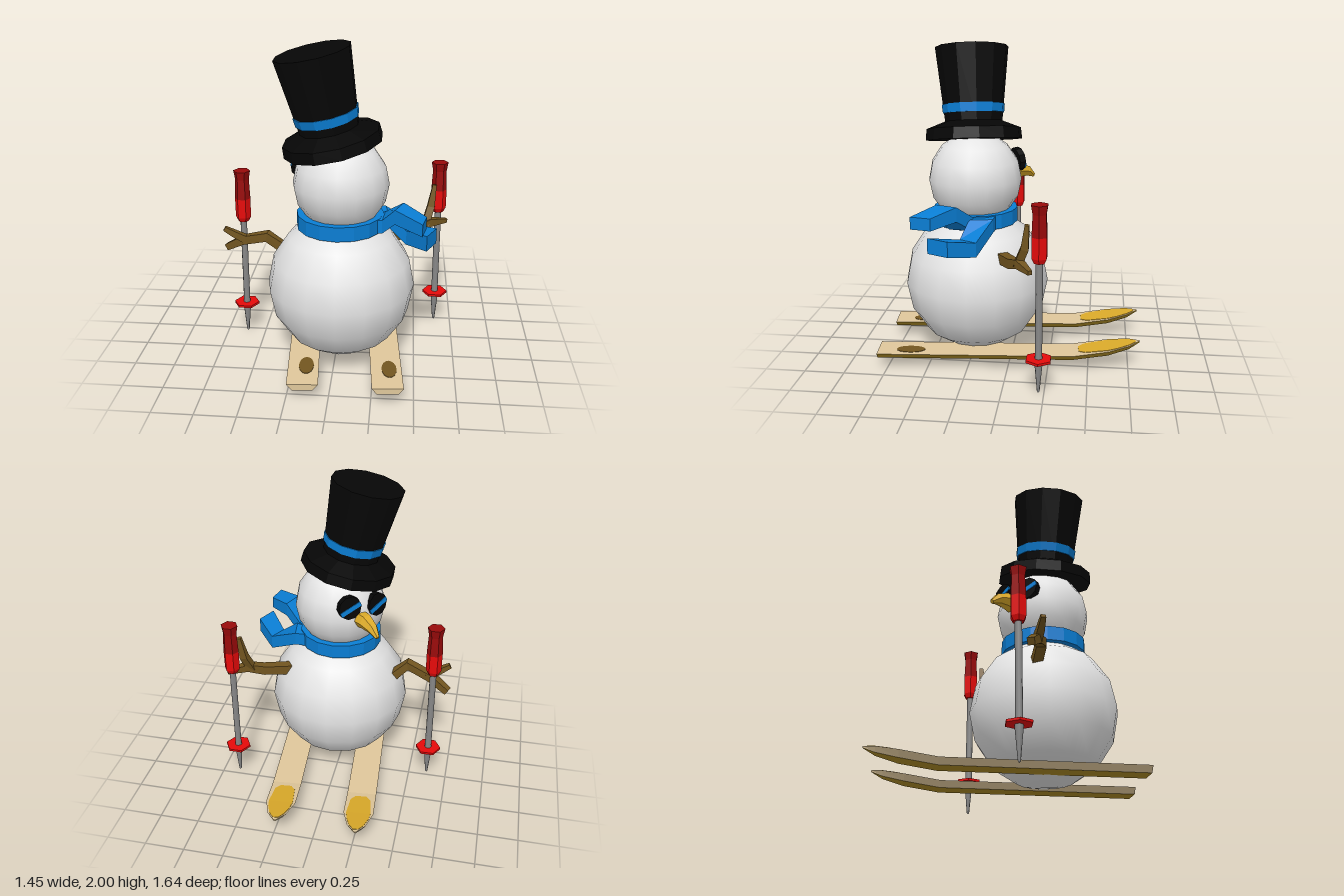
import * as THREE from 'three';

const mat = (name, color) => {
  const m = new THREE.MeshStandardMaterial({ color });
  m.name = name;
  return m;
};
const V = (x, y, z) => new THREE.Vector3(x, y, z);

// Faceted skin over rings listed counter-clockwise around the direction of travel.
// Strips listed in topStrips and both caps form group 0, the other strips group 1.
function loft(rings, topStrips = []) {
  const first = [], rest = [];
  const n = rings[0].length, last = rings[rings.length - 1];
  const tri = (list, a, b, c) => [a, b, c].forEach((p) => list.push(p.x, p.y, p.z));
  for (let i = 0; i < rings.length - 1; i++) {
    for (let j = 0; j < n; j++) {
      const k = (j + 1) % n, list = topStrips.includes(j) ? first : rest;
      tri(list, rings[i][j], rings[i][k], rings[i + 1][k]);
      tri(list, rings[i][j], rings[i + 1][k], rings[i + 1][j]);
    }
  }
  for (let j = 1; j < n - 1; j++) {
    tri(first, rings[0][0], rings[0][j + 1], rings[0][j]);
    tri(first, last[0], last[j], last[j + 1]);
  }
  const g = new THREE.BufferGeometry();
  g.setAttribute('position', new THREE.Float32BufferAttribute(first.concat(rest), 3));
  g.computeVertexNormals();
  g.addGroup(0, first.length / 3, 0);
  g.addGroup(first.length / 3, rest.length / 3, 1);
  return g;
}

// Tapered limb through [x, y, z, radius] stations.
function limb(stations, sides, ref) {
  const pts = stations.map((s) => V(s[0], s[1], s[2]));
  return loft(pts.map((p, i) => {
    const t = pts[Math.min(i + 1, pts.length - 1)].clone().sub(pts[Math.max(i - 1, 0)]).normalize();
    const u = ref.clone().cross(t).normalize(), v = t.clone().cross(u);
    return Array.from({ length: sides }, (_, j) => {
      const a = Math.PI / sides + (j / sides) * Math.PI * 2, r = stations[i][3];
      return p.clone().addScaledVector(u, r * Math.cos(a)).addScaledVector(v, r * Math.sin(a));
    });
  }));
}

// Faceted turned shape from [radius, y] points, bottom to top.
function turned(profile, sides, phase = 0) {
  const g = new THREE.LatheGeometry(profile.map((p) => new THREE.Vector2(p[0], p[1])), sides, phase).toNonIndexed();
  g.computeVertexNormals();
  return g;
}

export function createModel() {
  const root = new THREE.Group();
  root.name = 'skiingSnowman';
  const snow = mat('snow', 0xe4e4e4), black = mat('black', 0x060606), blue = mat('blue', 0x0a7ed4);
  const gold = mat('gold', 0xdcab2a), wood = mat('wood', 0x735620), tan = mat('tan', 0xdfc79b);
  const skiBase = mat('skiBase', 0xae8c26), metal = mat('metal', 0x888888);
  const red = mat('red', 0xe60a0a), darkRed = mat('darkRed', 0x980a0a);
  const add = (parent, name, geo, material, x = 0, y = 0, z = 0) => {
    const m = new THREE.Mesh(geo, material);
    m.name = name;
    m.position.set(x, y, z);
    parent.add(m);
    return m;
  };

  // Snowballs
  add(root, 'body', new THREE.SphereGeometry(0.457, 16, 8), snow, 0.03, 0.495, 0.23);
  add(root, 'head', new THREE.SphereGeometry(0.292, 16, 8), snow, 0.03, 1.155, 0.235);

  // Scarf ring and its two blown tails: edge x, z, other edge x, z, bottom, top
  add(root, 'scarfRing', turned([[0, 0.88], [0.265, 0.88], [0.265, 0.97], [0, 0.97]], 16), blue, 0.025, 0, 0.235);
  const tails = [
    [[0.22, 0.08, 0.24, 0.25, 0.88, 0.965], [0.3, 0.09, 0.32, 0.23, 0.875, 0.96],
      [0.485, 0.165, 0.43, 0.27, 0.78, 0.87], [0.61, 0.31, 0.55, 0.44, 0.815, 0.91]],
    [[0.24, 0.2, 0.22, 0.35, 0.88, 0.965], [0.3, 0.21, 0.285, 0.36, 0.885, 0.97],
      [0.41, 0.29, 0.36, 0.42, 0.97, 1.06], [0.545, 0.42, 0.52, 0.545, 0.95, 1.025]],
  ];
  tails.forEach((t) => add(root, 'scarfTail', loft(t.map(([ax, az, bx, bz, lo, hi]) =>
    [V(ax, hi, az), V(bx, hi, bz), V(bx, lo, bz), V(ax, lo, az)])), [blue, blue]));

  // Tilted top hat
  const hat = new THREE.Group();
  hat.name = 'topHat';
  hat.position.set(-0.014, 1.388, 0.245);
  hat.rotation.set(0.05, 0, 0.21);
  root.add(hat);
  add(hat, 'hatShell', turned([[0, 0], [0.303, 0], [0.297, 0.07], [0.18, 0.115], [0.23, 0.575], [0, 0.575]],
    12, Math.PI / 12), black);
  add(hat, 'hatBand', turned([[0.18, 0.165], [0.192, 0.165], [0.198, 0.22], [0.186, 0.22]], 12, Math.PI / 12), blue);

  // Face, turned towards the back right
  const face = new THREE.Group();
  face.name = 'face';
  face.position.set(0.03, 1.155, 0.235);
  face.rotation.y = -2.37;
  root.add(face);
  [[-0.1, 0.1], [0.1, 0.07]].forEach(([x, y]) => {
    const eye = new THREE.Group();
    eye.name = 'eye';
    eye.position.set(x, y, 0.257);
    eye.rotation.set(-0.1, x * 1.5, 0.38);
    face.add(eye);
    const disc = new THREE.CylinderGeometry(0.076, 0.076, 0.04, 10).toNonIndexed();
    disc.computeVertexNormals();
    add(eye, 'eyeDisc', disc.rotateX(Math.PI / 2), black);
    add(eye, 'eyeStripe', new THREE.BoxGeometry(0.146, 0.03, 0.008), blue, 0, -0.008, 0.021);
  });
  add(face, 'nose', limb([[-0.02, 0.0, 0.25, 0.055], [-0.02, 0.008, 0.33, 0.05], [-0.02, -0.008, 0.4, 0.036],
    [-0.02, -0.045, 0.455, 0.014]], 6, V(1, 0, 0)), [gold, gold]);

  // Twig arms
  const up = V(0, 1, 0), back = V(0, 0, 1);
  const twigs = {
    leftArm: [[[0.3, 0.725, 0.04, 0.045], [0.48, 0.75, -0.05, 0.042], [0.58, 0.785, -0.1, 0.037],
      [0.69, 0.772, -0.17, 0.018]], up],
    leftFinger: [[[0.55, 0.765, -0.085, 0.033], [0.585, 0.88, -0.13, 0.033], [0.605, 1.025, -0.145, 0.018]], back],
    rightArm: [[[-0.33, 0.67, 0.15, 0.042], [-0.44, 0.765, 0.175, 0.042], [-0.6, 0.715, 0.13, 0.038],
      [-0.715, 0.645, 0.09, 0.03]], up],
    rightFinger: [[[-0.57, 0.715, 0.135, 0.035], [-0.64, 0.755, 0.15, 0.03], [-0.715, 0.8, 0.16, 0.02]], up],
  };
  Object.entries(twigs).forEach(([name, [stations, ref]]) => add(root, name, limb(stations, 4, ref), [wood, wood]));

  // Skis with upturned tips: z, top y, half width on top, half width below, thickness
  const skiRings = [[0.815, 0.11, 0.093, 0.062, 0.038], [-0.4, 0.11, 0.093, 0.062, 0.038],
    [-0.62, 0.143, 0.093, 0.062, 0.038], [-0.75, 0.167, 0.058, 0.035, 0.03], [-0.82, 0.18, 0.006, 0.004, 0.01]]
    .map(([z, y, a, b, t]) => [V(-a, y, z), V(a, y, z), V(b, y - t, z), V(-b, y - t, z)]);
  // Painted tip patch: z, y, half width
  const patch = [[-0.44, 0.116, 0.035], [-0.48, 0.122, 0.064], [-0.62, 0.143, 0.076], [-0.68, 0.154, 0.068],
    [-0.75, 0.167, 0.046], [-0.795, 0.175, 0.016]]
    .map(([z, y, w]) => [V(-w, y + 0.004, z), V(w, y + 0.004, z), V(w, y + 0.001, z), V(-w, y + 0.001, z)]);
  [-0.214, 0.284].forEach((x) => {
    const ski = new THREE.Group();
    ski.name = 'ski';
    ski.position.x = x;
    ski.rotation.y = 0.08;
    root.add(ski);
    add(ski, 'skiBoard', loft(skiRings, [0, 3]), [tan, skiBase]);
    add(ski, 'tipPatch', loft(patch), [gold, gold]);
    const spot = new THREE.CylinderGeometry(0.045, 0.045, 0.004, 16).scale(1, 1, 2);
    add(ski, 'heelSpot', spot, wood, 0.018, 0.111, 0.61);
  });

  // Ski poles
  [[-0.618, 0, 0.03], [0.637, 0.01, -0.218]].forEach(([x, y, z]) => {
    const pole = new THREE.Group();
    pole.name = 'skiPole';
    pole.position.set(x, y, z);
    root.add(pole);
    const p = Math.PI / 6;
    add(pole, 'shaft', new THREE.LatheGeometry([[0, 0], [0.008, 0.01], [0.025, 0.2], [0.021, 0.24], [0.021, 0.82]]
      .map((q) => new THREE.Vector2(q[0], q[1])), 8), metal);
    add(pole, 'basket', turned([[0, 0.207], [0.082, 0.207], [0.082, 0.222], [0, 0.222]], 6, p), red);
    add(pole, 'lowerGrip', turned([[0, 0.805], [0.034, 0.805], [0.049, 0.835], [0.05, 0.96]], 6, p), red);
    add(pole, 'upperGrip', turned([[0.05, 0.96], [0.044, 1.09], [0.054, 1.145], [0, 1.145]], 6, p), darkRed);
  });
  return root;
}
